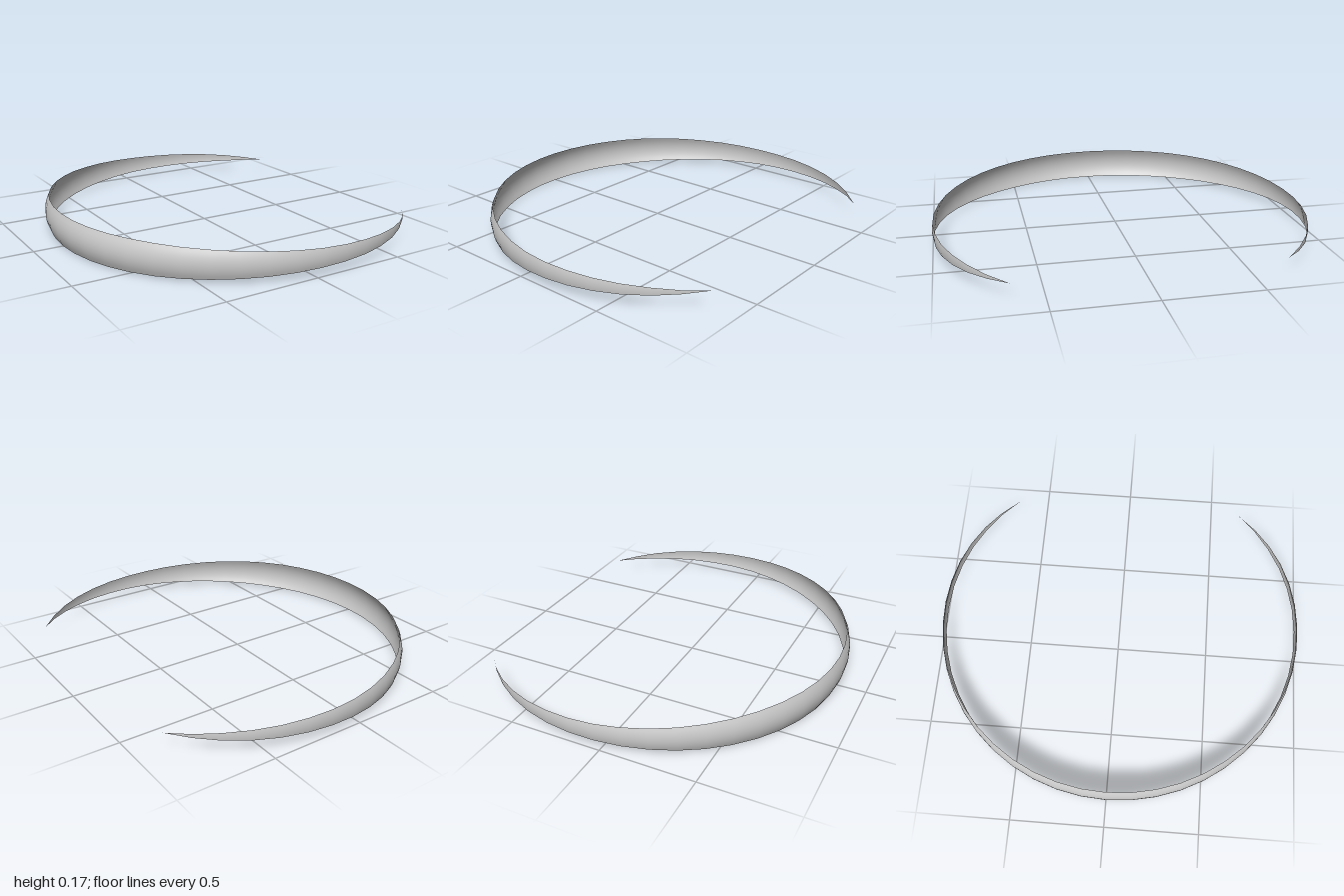
import * as THREE from 'three';

const SWEEP = THREE.MathUtils.degToRad(138); // from the back of the ring to each tip
const STEPS = 36, ROWS = 8;
const CENTRE_X = 0.132, CENTRE_Y = 0.087;

// Half height of the band at equal angles from the middle to the tip
const HALF = [0.087, 0.086, 0.083, 0.074, 0.061, 0.047, 0.036, 0.022, 0.0003];

function halfHeight(t) {
  const f = Math.min(t, 1) * (HALF.length - 1);
  const i = Math.min(Math.floor(f), HALF.length - 2);
  return THREE.MathUtils.lerp(HALF[i], HALF[i + 1], f - i);
}

// Open ring whose cross-section bows outward and narrows to two points
function crescentBand() {
  const positions = [], indices = [];
  for (let i = 0; i <= STEPS; i++) {
    const s = (i / STEPS) * 2 - 1;
    const t = Math.abs(s);
    const angle = s * SWEEP;
    const h = halfHeight(t);
    const outer = 1 - 0.015 * Math.max(0, (t - 0.78) / 0.22) ** 1.5;
    for (let j = 0; j <= ROWS; j++) {
      const v = (j / ROWS) * 2 - 1;
      const r = outer - 3.3 * (h * v) ** 2;
      positions.push(CENTRE_X - r * Math.cos(angle), CENTRE_Y + h * v, r * Math.sin(angle));
    }
  }
  const row = ROWS + 1;
  for (let i = 0; i < STEPS; i++) {
    for (let j = 0; j < ROWS; j++) {
      const a = i * row + j, b = a + row;
      indices.push(a, b, b + 1, a, b + 1, a + 1);
    }
  }
  const geometry = new THREE.BufferGeometry();
  geometry.setAttribute('position', new THREE.Float32BufferAttribute(positions, 3));
  geometry.setIndex(indices);
  geometry.computeVertexNormals();
  return geometry;
}

export function createModel() {
  const group = new THREE.Group();
  group.name = 'openBand';
  const material = new THREE.MeshStandardMaterial({ color: 0xcccccc, side: THREE.DoubleSide });
  const band = new THREE.Mesh(crescentBand(), material);
  band.name = 'taperedBand';
  group.add(band);
  return group;
}
